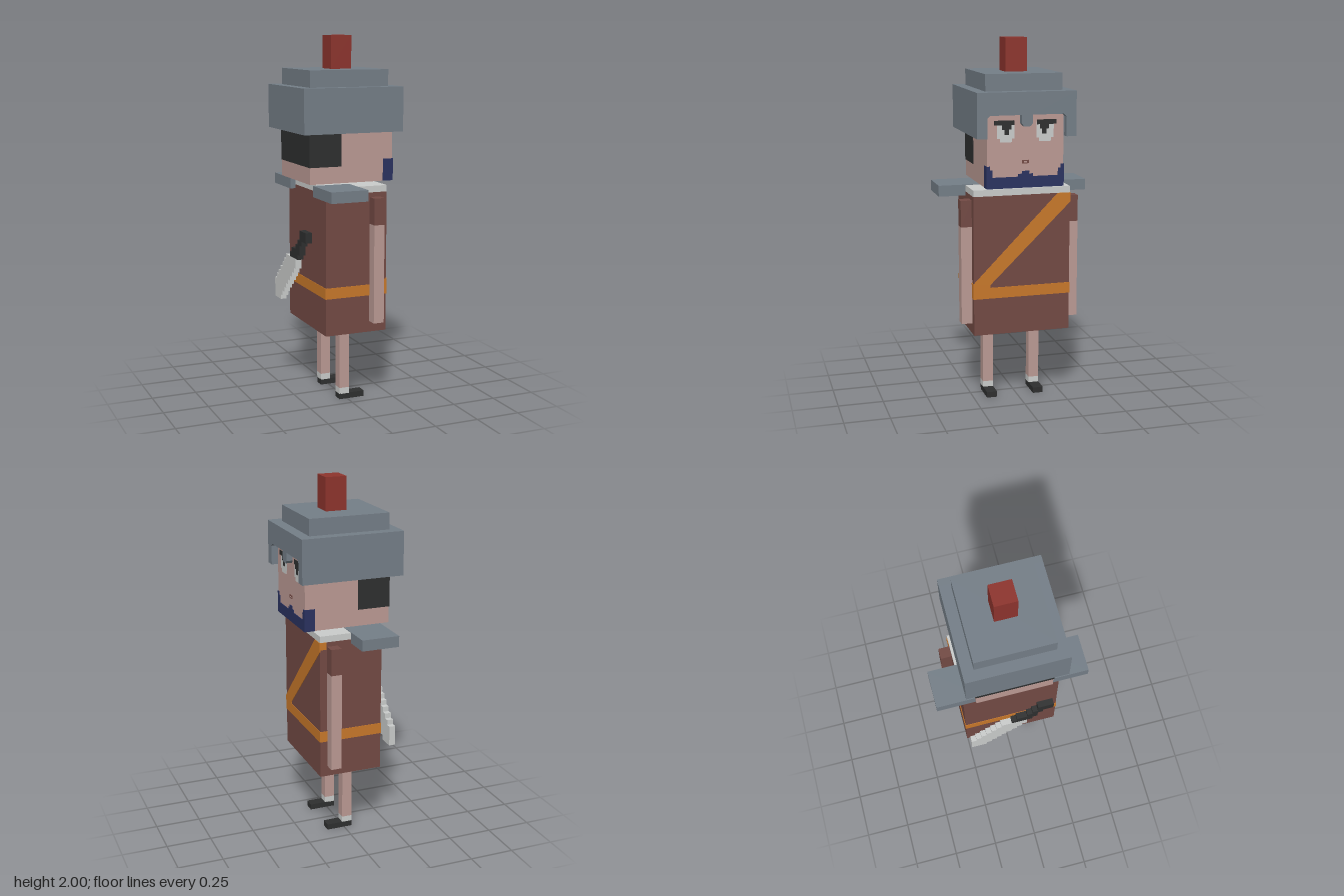
import * as THREE from 'three';

const mat = (name, color) => {
  const m = new THREE.MeshStandardMaterial({ color });
  m.name = name;
  return m;
};

export function createModel() {
  const skin = mat('skin', 0xbb9a94), steel = mat('steel', 0x747e87), cloth = mat('brownCloth', 0x734a44);
  const orange = mat('orange', 0xc8782a), navy = mat('navy', 0x2a3260), dark = mat('black', 0x2e2f2f);
  const pale = mat('paleGrey', 0xcacccb), red = mat('red', 0x8d342d);
  const model = new THREE.Group();
  model.name = 'soldier';

  const add = (name, geo, material, parent = model) => {
    const mesh = new THREE.Mesh(geo, material);
    mesh.name = name;
    parent.add(mesh);
    return mesh;
  };
  // Box given by its limits on each axis
  const box = (name, m, x0, x1, y0, y1, z0, z1, parent) => {
    const g = new THREE.BoxGeometry(x1 - x0, y1 - y0, z1 - z0);
    g.translate((x0 + x1) / 2, (y0 + y1) / 2, (z0 + z1) / 2);
    return add(name, g, m, parent);
  };
  // Same box on both sides of the body
  const pair = (name, m, x0, x1, y0, y1, z0, z1) => {
    box(name + 'Left', m, x0, x1, y0, y1, z0, z1);
    box(name + 'Right', m, x0, x1, y0, y1, -z1, -z0);
  };
  // Outline of [z, y] points, extruded towards +x from x0
  const plate = (name, m, x0, depth, pts) => {
    const shape = new THREE.Shape(pts.map(([z, y]) => new THREE.Vector2(-z, y)));
    const g = new THREE.ExtrudeGeometry(shape, { depth, bevelEnabled: false });
    g.rotateY(Math.PI / 2);
    g.translate(x0, 0, 0);
    return add(name, g, m);
  };
  // Half outline mirrored across z = 0
  const mirrored = (pts) => [...pts, ...pts.map(([z, y]) => [-z, y]).reverse()];

  // Head, hair and beard
  box('head', skin, -0.23, 0.25, 1.22, 1.7, -0.21, 0.21);
  box('hair', dark, -0.233, -0.05, 1.31, 1.5, -0.213, 0.213);
  plate('beard', navy, 0.25, 0.004, mirrored([
    [0.213, 1.22], [0.213, 1.34], [0.195, 1.34], [0.195, 1.32], [0.18, 1.32], [0.18, 1.28],
    [0.04, 1.28], [0.04, 1.295], [0.02, 1.295], [0.02, 1.31],
  ]));
  pair('beardSide', navy, 0.195, 0.252, 1.22, 1.34, 0.209, 0.213);

  // Eyes, brows and mouth
  for (const s of [1, -1]) {
    const eye = [[0.155, 1.57], [0.155, 1.485], [0.14, 1.485], [0.14, 1.465],
      [0.075, 1.465], [0.075, 1.485], [0.06, 1.485], [0.06, 1.57]];
    plate('eyeWhite', pale, 0.25, 0.002, eye.map(([z, y]) => [s * z, y]));
    const rect = (name, z0, z1, y0, y1) =>
      box(name, dark, 0.25, 0.254, y0, y1, Math.min(s * z0, s * z1), Math.max(s * z0, s * z1));
    rect('brow', 0.062, 0.17, 1.555, 1.58);
    rect('upperPupil', 0.078, 0.128, 1.532, 1.555);
    rect('lowerPupil', 0.09, 0.115, 1.505, 1.532);
  }
  box('mouth', cloth, 0.25, 0.253, 1.35, 1.368, -0.02, 0.02);
  box('mouthCentre', skin, 0.25, 0.254, 1.355, 1.362, -0.008, 0.008);

  // Helmet with a face opening and nose guard
  box('helmet', steel, -0.285, 0.248, 1.49, 1.73, -0.27, 0.27);
  plate('helmetFront', steel, 0.248, 0.037, mirrored([
    [0.27, 1.73], [0.27, 1.49], [0.215, 1.49], [0.215, 1.595], [0.2, 1.61],
    [0.03, 1.61], [0.03, 1.565], [0.018, 1.55],
  ]));
  box('helmetCrown', steel, -0.227, 0.223, 1.73, 1.82, -0.21, 0.21);
  box('crest', red, -0.045, 0.073, 1.82, 2, -0.06, 0.06);

  // Tunic, collar, belt and sash
  box('tunic', cloth, -0.165, 0.19, 0.4, 1.17, -0.27, 0.27);
  box('collar', pale, -0.165, 0.19, 1.17, 1.205, -0.27, 0.27);
  box('belt', orange, -0.168, 0.193, 0.605, 0.665, -0.273, 0.273);
  plate('sash', orange, 0.189, 0.004, [
    [0.273, 0.66], [0.273, 0.69], [-0.2, 1.17], [-0.273, 1.17], [-0.273, 1.12], [0.18, 0.68], [0.18, 0.66],
  ]);
  box('sashLowerEnd', orange, 0.15, 0.19, 0.665, 0.69, 0.269, 0.273);
  box('sashUpperEnd', orange, 0.155, 0.19, 1.13, 1.17, -0.273, -0.269);

  // Shoulder plates and arms
  pair('shoulderPlate', steel, -0.197, 0.013, 1.148, 1.208, 0.17, 0.42);
  pair('arm', skin, 0.09, 0.15, 0.46, 1.0, 0.27, 0.33);
  pair('sleeve', cloth, 0.09, 0.15, 1.0, 1.145, 0.27, 0.33);

  // Legs, socks and shoes
  for (const [side, z0] of [['left', 0.12], ['right', -0.15]]) {
    box(side + 'Leg', skin, -0.045, 0.012, 0.065, 0.4, z0, z0 + 0.058);
    box(side + 'Sock', pale, -0.045, 0.012, 0.03, 0.065, z0, z0 + 0.058);
    box(side + 'Shoe', dark, -0.045, 0.102, 0, 0.032, z0, z0 + 0.058);
  }

  // Stepped sword slung across the back, one slab per row
  const sword = new THREE.Group();
  sword.name = 'sword';
  model.add(sword);
  const row = (name, m, r, c0, c1) => box(name, m, -0.26, -0.225,
    0.515 + r * 0.0281, 0.515 + (r + 1) * 0.0281, -0.26 + c0 * 0.03, -0.26 + c1 * 0.03, sword);
  for (let r = 0; r < 10; r++) row('blade', pale, r, Math.max(0, r - 3), Math.min(11, r + 3));
  const hilt = [[8, 12], [9, 13], [11, 13], [12, 14], [13, 16], [13, 16]];
  hilt.forEach(([c0, c1], i) => row('hilt', dark, 10 + i, c0, c1));

  return model;
}
